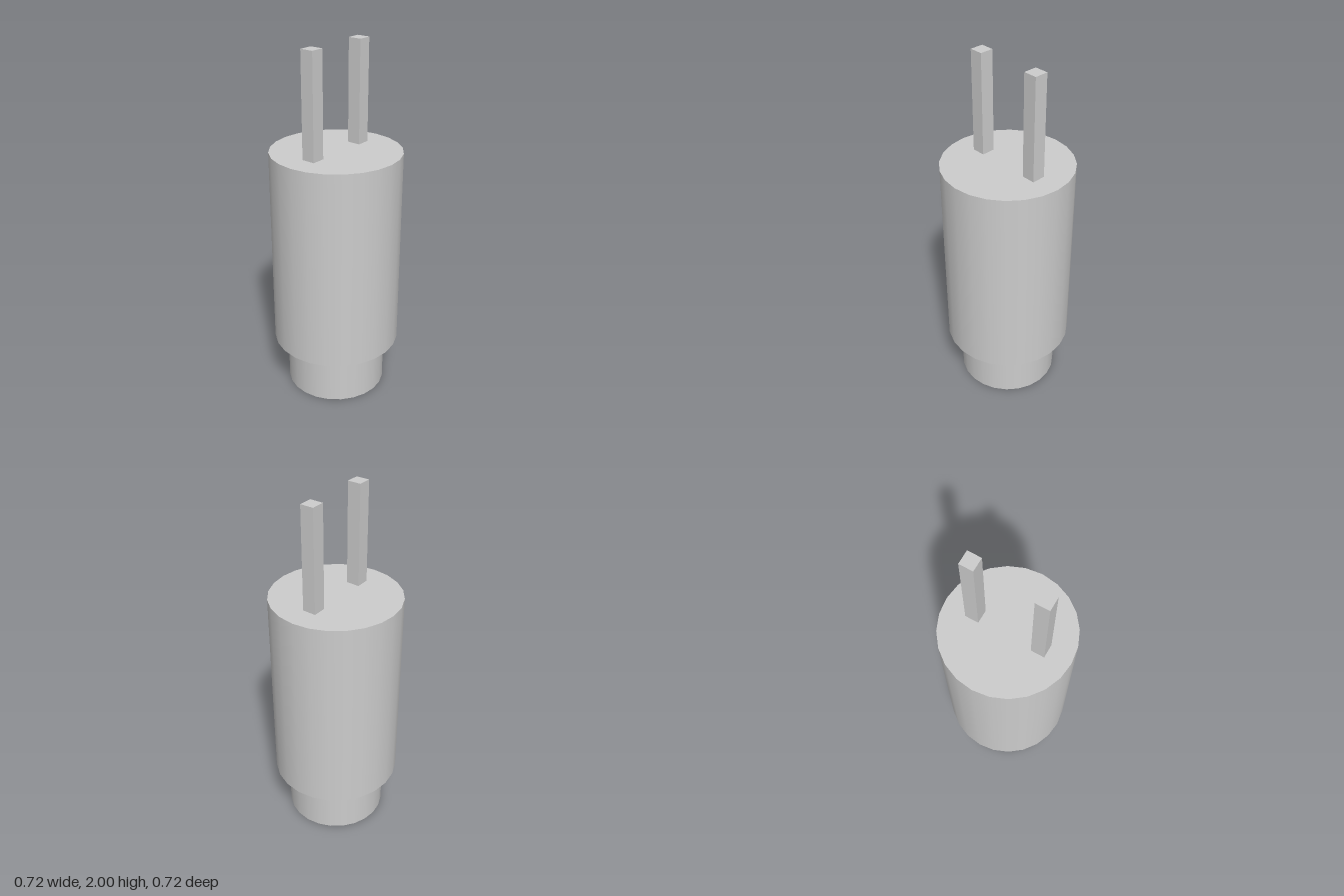
import * as THREE from 'three';

const grey = new THREE.MeshStandardMaterial({ color: 0xcccccc });
grey.name = 'light grey';

// Adds a part whose underside sits at the given height
function addPart(group, name, geometry, x, bottom, height) {
  const mesh = new THREE.Mesh(geometry, grey);
  mesh.name = name;
  mesh.position.set(x, bottom + height / 2, 0);
  group.add(mesh);
}

export function createModel() {
  const model = new THREE.Group();
  model.name = 'twoPinComponent';

  const baseHeight = 0.29;
  const bodyHeight = 1.14;
  const pinHeight = 0.57;
  const pinWidth = 0.076;
  const bodyTop = baseHeight + bodyHeight;

  // Narrow round base and wider body
  addPart(model, 'base', new THREE.CylinderGeometry(0.283, 0.283, baseHeight, 24), 0, 0, baseHeight);
  addPart(model, 'body', new THREE.CylinderGeometry(0.362, 0.362, bodyHeight, 24), 0, baseHeight, bodyHeight);

  // Pair of square pins on top
  const pin = new THREE.BoxGeometry(pinWidth, pinHeight, pinWidth);
  for (const [name, side] of [['leftPin', 1], ['rightPin', -1]]) {
    addPart(model, name, pin, side * 0.19, bodyTop, pinHeight);
  }
  return model;
}
